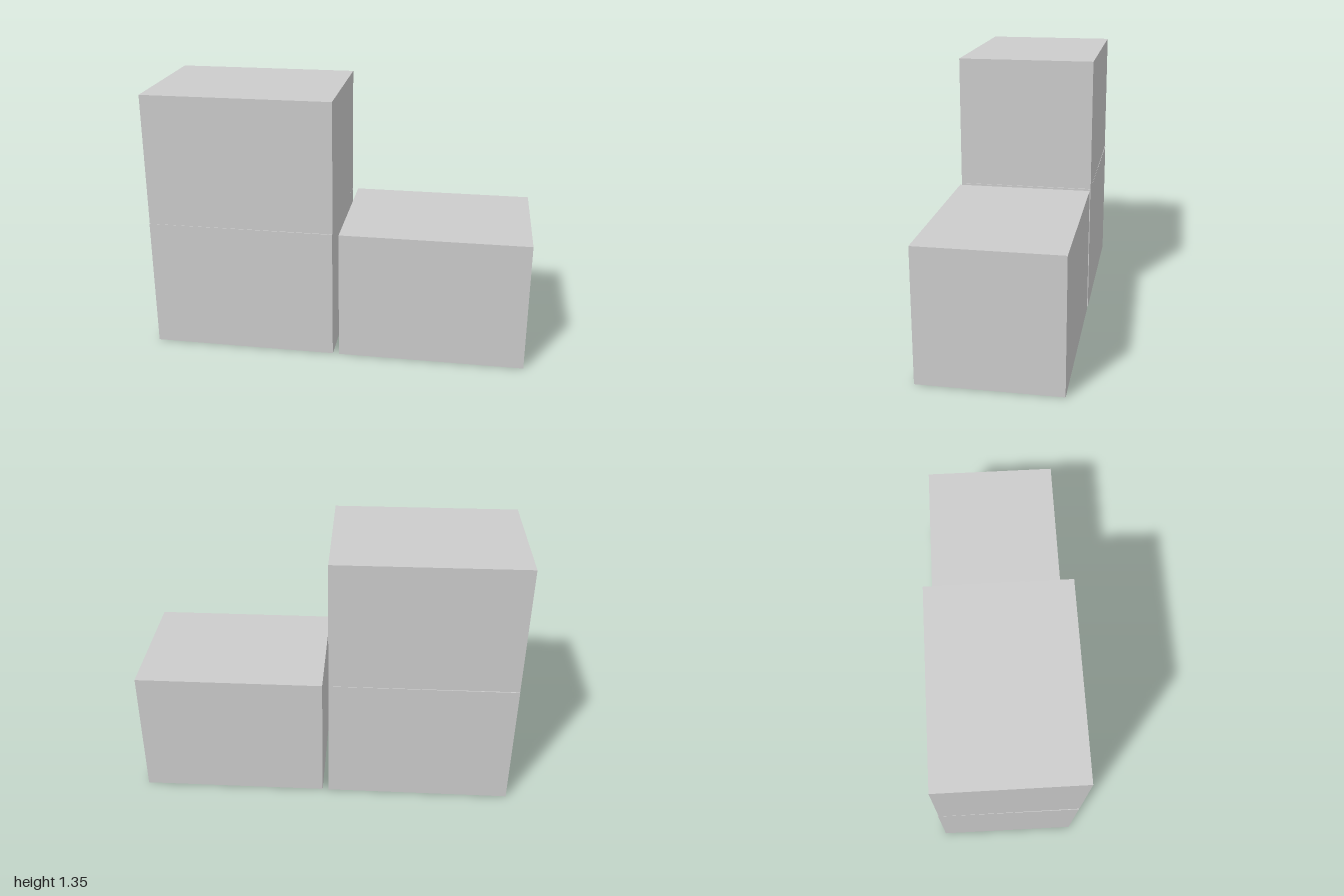
import * as THREE from 'three';

const WIDTH = 0.951, HEIGHT = 0.674, DEPTH = 0.699;

// Box shell with an open underside, standing on its own y = 0
function openBox() {
  const geometry = new THREE.BoxGeometry(WIDTH, HEIGHT, DEPTH);
  const index = Array.from(geometry.index.array);
  index.splice(18, 6); // drop the bottom face
  geometry.setIndex(index);
  geometry.clearGroups();
  return geometry.translate(0, HEIGHT / 2, 0);
}

export function createModel() {
  const model = new THREE.Group();
  model.name = 'stackedBoxes';
  const grey = new THREE.MeshStandardMaterial({ color: 0xcccccc, side: THREE.DoubleSide });
  grey.name = 'plain grey';
  const geometry = openBox();

  // Two boxes side by side, a third stacked on the left-hand one
  const boxes = [
    ['lowerBoxRight', -0.41, 0, 0.271, 0.588],
    ['lowerBoxLeft', 0.408, 0, -0.274, 0.59],
    ['upperBox', -0.408, 0.676, 0.271, 0.592],
  ];
  for (const [name, x, y, z, turn] of boxes) {
    const box = new THREE.Mesh(geometry, grey);
    box.name = name;
    box.position.set(x, y, z);
    box.rotation.y = turn;
    model.add(box);
  }
  return model;
}
